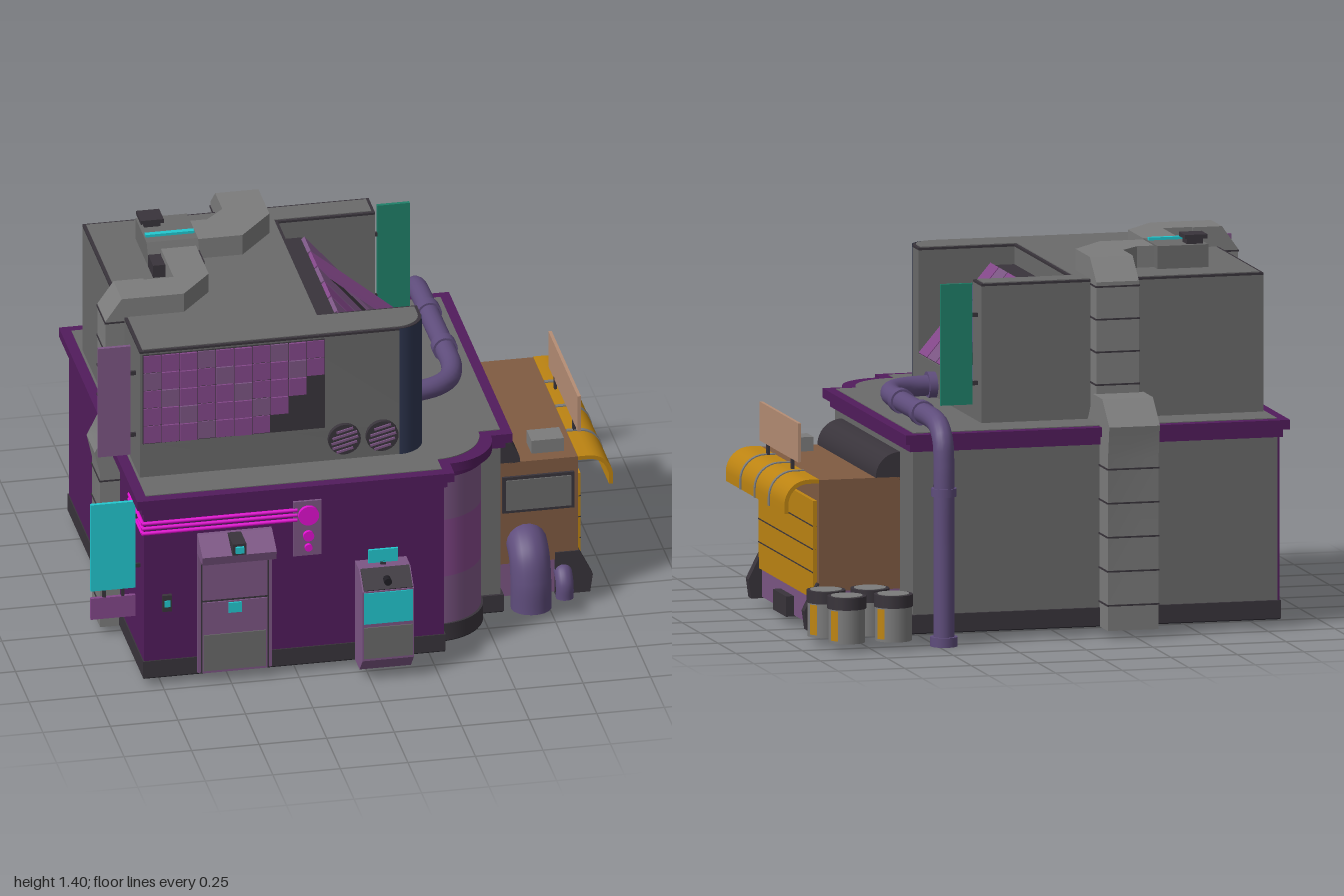
import * as THREE from 'three';
import { toCreasedNormals } from 'three/addons/utils/BufferGeometryUtils.js';

const C = {
  grey: 0x6a6a6a, duct: 0x7c7c7c, dark: 0x39343b, black: 0x201e24, purple: 0x521c5c, lilac: 0x7c5684,
  violet: 0x84488a, cyan: 0x22c8d0, teal: 0x1f8069, yellow: 0xbd8412, brown: 0x805b42, tan: 0xb58d74,
  magenta: 0xe010d0, pipe: 0x5f4d7c, navy: 0x2e3650,
};
const mats = {};
const mat = (c) => (mats[c] ??= new THREE.MeshStandardMaterial({ color: C[c], side: THREE.DoubleSide }));

export function createModel() {
  const root = new THREE.Group();
  const add = (name, geo, color) => {
    const m = new THREE.Mesh(geo, mat(color));
    m.name = name;
    root.add(m);
    return m;
  };
  // Box given by its limits
  const box = (name, color, x0, x1, y0, y1, z0, z1) => {
    const m = add(name, new THREE.BoxGeometry(x1 - x0, y1 - y0, z1 - z0), color);
    m.position.set((x0 + x1) / 2, (y0 + y1) / 2, (z0 + z1) / 2);
    return m;
  };
  const extrude = (pts, depth) => toCreasedNormals(new THREE.ExtrudeGeometry(
    new THREE.Shape(pts.map((p) => new THREE.Vector2(p[0], p[1]))), { depth, bevelEnabled: false }), 0.5);
  // Outline in [x, z] raised from y0 to y1
  const plan = (name, color, pts, y0, y1) =>
    add(name, extrude(pts.map(([x, z]) => [x, -z]), y1 - y0).rotateX(-Math.PI / 2).translate(0, y0, 0), color);
  // Outline in [z, y] running from x0 to x1
  const profX = (name, color, pts, x0, x1) =>
    add(name, extrude(pts.map(([z, y]) => [-z, y]), x1 - x0).rotateY(Math.PI / 2).translate(x0, 0, 0), color);
  // Outline in [x, y] running from z0 to z1
  const profZ = (name, color, pts, z0, z1) => add(name, extrude(pts, z1 - z0).translate(0, 0, z0), color);
  const cyl = (name, color, r, h, x, y, z, axis = 'y') => {
    const g = new THREE.CylinderGeometry(r, r, h, 24);
    if (axis === 'z') g.rotateX(Math.PI / 2);
    if (axis === 'x') g.rotateZ(Math.PI / 2);
    add(name, g.translate(x, y, z), color);
  };
  const arc = (cx, cz, r, n = 12) => Array.from({ length: n + 1 }, (_, i) => {
    const a = (i / n) * Math.PI / 2;
    return [cx + r * Math.sin(a), cz + r * Math.cos(a)];
  });
  const curvedPanel = (name, color, cx, cz, r, y0, y1) =>
    add(name, new THREE.CylinderGeometry(r, r, y1 - y0, 14, 1, true, 0, Math.PI / 2)
      .translate(cx, (y0 + y1) / 2, cz), color);
  const tube = (name, color, pts, r) => add(name, new THREE.TubeGeometry(
    new THREE.CatmullRomCurve3(pts.map((p) => new THREE.Vector3(...p)), false, 'centripetal'), 70, r, 18), color);

  // Ground storey with a rounded front corner
  const foot = (d) => [[-0.81 - d, -0.66 - d], [-0.81 - d, 0.7 + d], [0.29 + d, 0.7 + d],
    ...arc(0.29 + d, 0.43 + d, 0.19), [0.56 + d, 0.43 + d], [0.56 + d, -0.66 - d]];
  plan('groundStorey', 'grey', foot(0), 0.035, 0.75);
  plan('plinth', 'dark', foot(0.01), 0.034, 0.1);
  plan('floor', 'black', foot(0.008), 0.03, 0.034);
  plan('roofTrim', 'purple', foot(0.015), 0.7, 0.735);
  plan('roofRim', 'purple', foot(0.037), 0.73, 0.765);
  plan('roofDeck', 'grey', foot(-0.002), 0.75, 0.768);
  box('frontWall', 'purple', -0.815, 0.295, 0.1, 0.7, 0.69, 0.705);
  box('leftWall', 'purple', -0.816, -0.8, 0.1, 0.7, -0.66, 0.704);
  box('stepWall', 'purple', 0.28, 0.295, 0.1, 0.7, 0.62, 0.704);
  [['lilac', 0.1, 0.29], ['violet', 0.29, 0.52], ['lilac', 0.52, 0.7]].forEach(([c, a, b]) =>
    curvedPanel('cornerPanel', c, 0.29, 0.43, 0.194, a, b));

  // Upper storey, notched for the slanted windows
  const upper = (d, notch) => [[-0.8 + d, -0.5 + d], [-0.8 + d, 0.55 - d], ...arc(0.16, 0.45, 0.1 - d, 8),
    ...(notch ? [[0.26 - d, 0.38 + d], [-0.1 - d, 0.38 + d], [-0.1 - d, -0.38 - d], [0.26 - d, -0.38 - d]] : []),
    [0.26 - d, -0.5 + d]];
  plan('upperBase', 'grey', upper(0, false), 0.76, 0.89);
  plan('upperStorey', 'grey', upper(0, true), 0.89, 1.27);
  plan('parapet', 'dark', upper(0, true), 1.27, 1.278);
  plan('upperRoof', 'grey', upper(0.012, true), 1.27, 1.281);
  curvedPanel('cornerGlass', 'navy', 0.16, 0.45, 0.103, 0.768, 1.278);
  profZ('windowSlope', 'dark', [[-0.1, 0.89], [0.255, 0.89], [-0.015, 1.205], [-0.1, 1.205]], -0.38, 0.38);

  // Slanted window panes, one propped open
  for (let i = 0; i < 6; i++) {
    const z = 0.31 - i * 0.123, open = i === 4;
    const pane = add('windowPane', new THREE.BoxGeometry(0.418, 0.015, 0.113).translate(0.209, 0, 0),
      i % 2 ? 'lilac' : 'violet');
    pane.position.set(-0.012, 1.212, z);
    pane.rotation.z = open ? -0.7 : -0.87;
  }

  // Tiled screen with a stepped missing corner
  box('screenBack', 'dark', -0.79, -0.115, 0.905, 1.265, 0.54, 0.556);
  for (let r = 0; r < 5; r++) for (let c = 0; c < 10; c++) {
    if (r >= 2 && c >= 11 - r) continue;
    const x = -0.788 + c * 0.0673, y = 1.263 - r * 0.0715;
    box('screenTile', (c * 3 + r * 5) % 4 === 1 ? 'lilac' : 'violet', x, x + 0.064, y - 0.068, y, 0.55,
      0.56 + ((c * 7 + r * 3) % 3) * 0.003);
  }

  // Wall fans
  for (const x of [-0.045, 0.095]) {
    cyl('fanHousing', 'dark', 0.06, 0.025, x, 0.855, 0.555, 'z');
    for (let i = -2; i <= 2; i++) {
      const w = Math.sqrt(0.0026 - (i * 0.02) ** 2);
      box('fanSlat', 'lilac', x - w, x + w, 0.85 + i * 0.02, 0.858 + i * 0.02, 0.56, 0.573).rotation.z = 0.25;
    }
  }

  // Hanging side signs
  box('upperLeftSign', 'lilac', -0.94, -0.82, 0.83, 1.27, 0.468, 0.482);
  box('tealSign', 'teal', 0.28, 0.4, 0.83, 1.275, -0.452, -0.438);
  box('cyanSign', 'cyan', -1, -0.835, 0.37, 0.72, 0.628, 0.642);
  box('lowerSign', 'violet', -1, -0.835, 0.255, 0.34, 0.628, 0.642);
  for (const x of [-0.95, -0.88]) box('signLink', 'dark', x - 0.006, x + 0.006, 0.33, 0.38, 0.63, 0.64);
  for (const y of [0.45, 0.65]) box('signArm', 'dark', -0.84, -0.8, y, y + 0.015, 0.63, 0.64);
  for (const y of [0.9, 1.15]) {
    box('signArm', 'dark', -0.83, -0.79, y, y + 0.015, 0.47, 0.48);
    box('signArm', 'dark', 0.25, 0.29, y, y + 0.015, -0.45, -0.44);
  }

  // Back and left ventilation ducts
  plan('backRoofDuct', 'duct', [[-0.31, -0.4], [-0.15, -0.4], [-0.15, -0.29], [-0.28, -0.14], [-0.45, -0.14],
    [-0.45, -0.29], [-0.38, -0.29], [-0.31, -0.36]], 1.27, 1.36);
  profX('backDuctUpper', 'duct', [[-0.38, 1.28], [-0.38, 1.36], [-0.49, 1.36], [-0.58, 1.28], [-0.58, 0.8],
    [-0.5, 0.77], [-0.5, 1.28]], -0.31, -0.15);
  profX('backDuctLower', 'duct', [[-0.5, 0.77], [-0.57, 0.87], [-0.7, 0.87], [-0.8, 0.78], [-0.78, 0.66],
    [-0.78, 0.03], [-0.66, 0.03], [-0.66, 0.77]], -0.33, -0.14);
  plan('leftRoofDuct', 'duct', [[-0.7, 0.13], [-0.59, 0.13], [-0.59, -0.1], [-0.46, -0.1], [-0.46, 0.13],
    [-0.58, 0.27], [-0.7, 0.27]], 1.27, 1.355);
  profZ('leftDuct', 'duct', [[-0.7, 1.28], [-0.7, 1.355], [-0.81, 1.355], [-0.87, 1.27], [-0.87, 0.82],
    [-0.91, 0.74], [-0.89, 0.65], [-0.89, 0.03], [-0.8, 0.03], [-0.8, 1.28]], 0.12, 0.27);
  for (let i = 0; i < 5; i++) {
    const y = 0.12 + i * 0.125, u = 0.9 + i * 0.12;
    box('ductSeam', 'dark', -0.333, -0.137, y, y + 0.006, -0.783, -0.66);
    box('ductSeam', 'dark', -0.893, -0.81, y, y + 0.006, 0.117, 0.273);
    if (i > 3) continue;
    box('ductSeam', 'dark', -0.313, -0.147, u, u + 0.006, -0.583, -0.5);
    box('ductSeam', 'dark', -0.873, -0.8, u, u + 0.006, 0.117, 0.273);
  }

  // Rooftop air unit
  profX('airUnit', 'grey', [[-0.02, 1.28], [-0.1, 1.3], [-0.14, 1.365], [-0.34, 1.365], [-0.34, 1.28]], -0.635, -0.445);
  box('airUnitLight', 'cyan', -0.63, -0.45, 1.36, 1.375, -0.2, -0.18);
  box('airUnitMouth', 'dark', -0.635, -0.445, 1.28, 1.33, -0.11, -0.02);
  box('airUnitNeck', 'dark', -0.62, -0.56, 1.36, 1.39, -0.32, -0.26);
  box('airUnitCap', 'dark', -0.635, -0.55, 1.385, 1.4, -0.33, -0.245);

  // Front door
  box('doorFrame', 'lilac', -0.62, -0.345, 0.04, 0.53, 0.7, 0.72);
  box('doorGap', 'dark', -0.608, -0.357, 0.04, 0.52, 0.7, 0.722);
  box('doorTop', 'lilac', -0.602, -0.363, 0.335, 0.512, 0.7, 0.728);
  box('doorBottom', 'lilac', -0.602, -0.363, 0.04, 0.325, 0.7, 0.728);
  box('doorVent', 'grey', -0.6, -0.37, 0.05, 0.195, 0.71, 0.732);
  box('doorLock', 'cyan', -0.508, -0.46, 0.28, 0.32, 0.71, 0.735);
  profX('doorCanopy', 'lilac', [[0.7, 0.525], [0.8, 0.515], [0.81, 0.55], [0.72, 0.6], [0.7, 0.6]], -0.62, -0.345);
  box('doorLampBody', 'dark', -0.51, -0.46, 0.555, 0.6, 0.72, 0.82);
  box('doorLamp', 'cyan', -0.5, -0.47, 0.565, 0.59, 0.81, 0.83);
  box('keypad', 'dark', -0.75, -0.715, 0.3, 0.365, 0.7, 0.72);
  box('keypadScreen', 'cyan', -0.743, -0.722, 0.32, 0.345, 0.71, 0.724);

  // Neon strips wrapping the left corner, with their panel
  for (const y of [0.622, 0.642, 0.662]) {
    cyl('neonFront', 'magenta', 0.007, 0.575, -0.5375, y, 0.713, 'x');
    cyl('neonSide', 'magenta', 0.007, 0.25, -0.822, y, 0.59, 'z');
  }
  box('neonPanel', 'lilac', -0.265, -0.16, 0.475, 0.695, 0.7, 0.715);
  [[0.64, 0.038], [0.557, 0.02], [0.51, 0.014]].forEach(([y, r]) => cyl('neonDisc', 'magenta', r, 0.02, -0.21, y, 0.718, 'z'));

  // Kiosk
  profX('kiosk', 'lilac', [[0.7, 0.03], [0.79, 0.03], [0.845, 0.09], [0.845, 0.37], [0.78, 0.43], [0.7, 0.43]], -0.035, 0.155);
  box('kioskScreen', 'cyan', -0.03, 0.15, 0.24, 0.365, 0.83, 0.849);
  box('kioskHatch', 'grey', -0.03, 0.15, 0.1, 0.225, 0.83, 0.849);
  profX('kioskSlope', 'dark', [[0.845, 0.373], [0.85, 0.378], [0.785, 0.436], [0.78, 0.43]], -0.03, 0.15);
  cyl('kioskKnob', 'black', 0.014, 0.03, 0.06, 0.402, 0.83, 'z');
  box('kioskSign', 'cyan', 0.005, 0.115, 0.44, 0.492, 0.745, 0.755);
  box('kioskSignPost', 'dark', 0.05, 0.07, 0.42, 0.445, 0.745, 0.755);
  box('kioskSidePanel', 'duct', 0.15, 0.159, 0.15, 0.225, 0.73, 0.81);
  box('kioskSticker', 'yellow', 0.15, 0.16, 0.27, 0.33, 0.74, 0.78).rotation.x = 0.4;

  // Side stall with awning and shutter
  box('stallBase', 'lilac', 0.55, 0.87, 0.035, 0.17, -0.47, 0.325);
  box('stallBody', 'brown', 0.55, 0.865, 0.17, 0.58, -0.48, 0.335);
  profZ('stallBackRoll', 'dark', [[0.56, 0.57], ...arc(0.56, 0.58, 0.092)], -0.48, 0.335);
  box('stallShutter', 'yellow', 0.86, 0.88, 0.14, 0.5, -0.455, 0.31);
  for (const y of [0.235, 0.32, 0.405]) box('shutterSeam', 'dark', 0.86, 0.882, y, y + 0.004, -0.455, 0.31);
  const awning = (d) => [[0.865, 0.583 + d], ...arc(0.905, 0.493, 0.09 + d, 8), [0.995 + d, 0.46],
    [0.98, 0.46], ...arc(0.905, 0.493, 0.075, 8).reverse(), [0.865, 0.568]];
  profZ('awning', 'yellow', awning(0), -0.48, 0.34);
  for (const z of [0.13, -0.07, -0.27]) profZ('awningStrap', 'duct', awning(0.004), z - 0.008, z + 0.008);
  box('stallStep', 'dark', 0.8, 0.9, 0.03, 0.105, -0.15, 0.035);
  for (const z of [0.32, -0.46])
    profZ('stallFoot', 'dark', [[0.78, 0.03], [0.91, 0.03], [0.92, 0.1], [0.87, 0.2], [0.78, 0.2]], z - 0.02, z + 0.02);
  box('stallSign', 'tan', 0.888, 0.9, 0.622, 0.765, -0.315, 0.22);
  for (const z of [-0.22, 0.12]) box('stallSignPost', 'dark', 0.888, 0.898, 0.57, 0.63, z, z + 0.015);
  box('stallRoofBox', 'duct', 0.705, 0.825, 0.575, 0.632, 0.19, 0.28);
  box('stallWindowFrame', 'dark', 0.585, 0.85, 0.38, 0.525, 0.33, 0.345);
  box('stallWindow', 'grey', 0.597, 0.838, 0.392, 0.513, 0.33, 0.35);
  tube('stallPipe', 'pipe', [[0.675, 0.25, 0.3], [0.675, 0.25, 0.34], [0.675, 0.215, 0.39], [0.675, 0.14, 0.415], [0.675, 0.03, 0.42]], 0.075);
  tube('stallSmallPipe', 'pipe', [[0.81, 0.12, 0.31], [0.81, 0.115, 0.34], [0.81, 0.085, 0.365], [0.81, 0.03, 0.368]], 0.033);

  // Drain pipe over the roof and down the back
  tube('drainPipe', 'pipe', [[0.24, 0.81, 0.155], [0.3, 0.81, 0.15], [0.38, 0.81, 0.125], [0.44, 0.81, 0.07], [0.47, 0.81, -0.02],
    [0.475, 0.81, -0.15], [0.475, 0.81, -0.4], [0.475, 0.81, -0.64], [0.475, 0.795, -0.71], [0.475, 0.75, -0.76],
    [0.475, 0.67, -0.775], [0.475, 0.35, -0.775], [0.475, 0.01, -0.775]], 0.038);
  for (const z of [-0.18, -0.47]) cyl('pipeCollar', 'pipe', 0.046, 0.045, 0.475, 0.81, z, 'z');
  cyl('pipeCollar', 'pipe', 0.046, 0.03, 0.475, 0.565, -0.775);
  box('pipeBracket', 'dark', 0.465, 0.485, 0.555, 0.575, -0.775, -0.65);
  cyl('pipeFoot', 'pipe', 0.05, 0.035, 0.475, 0.0175, -0.775);
  cyl('pipeInlet', 'pipe', 0.05, 0.03, 0.275, 0.81, 0.153, 'x');

  // Barrels
  for (const [x, z] of [[0.665, -0.775], [0.84, -0.775], [0.71, -0.615], [0.875, -0.615]]) {
    cyl('barrel', 'duct', 0.067, 0.125, x, 0.0925, z);
    cyl('barrelBand', 'dark', 0.071, 0.045, x, 0.177, z);
    cyl('barrelLid', 'duct', 0.058, 0.004, x, 0.2, z);
    add('barrelLabel', new THREE.CylinderGeometry(0.069, 0.069, 0.11, 6, 1, true, 1.9, 0.5).translate(x, 0.095, z), 'yellow');
  }
  return root;
}
